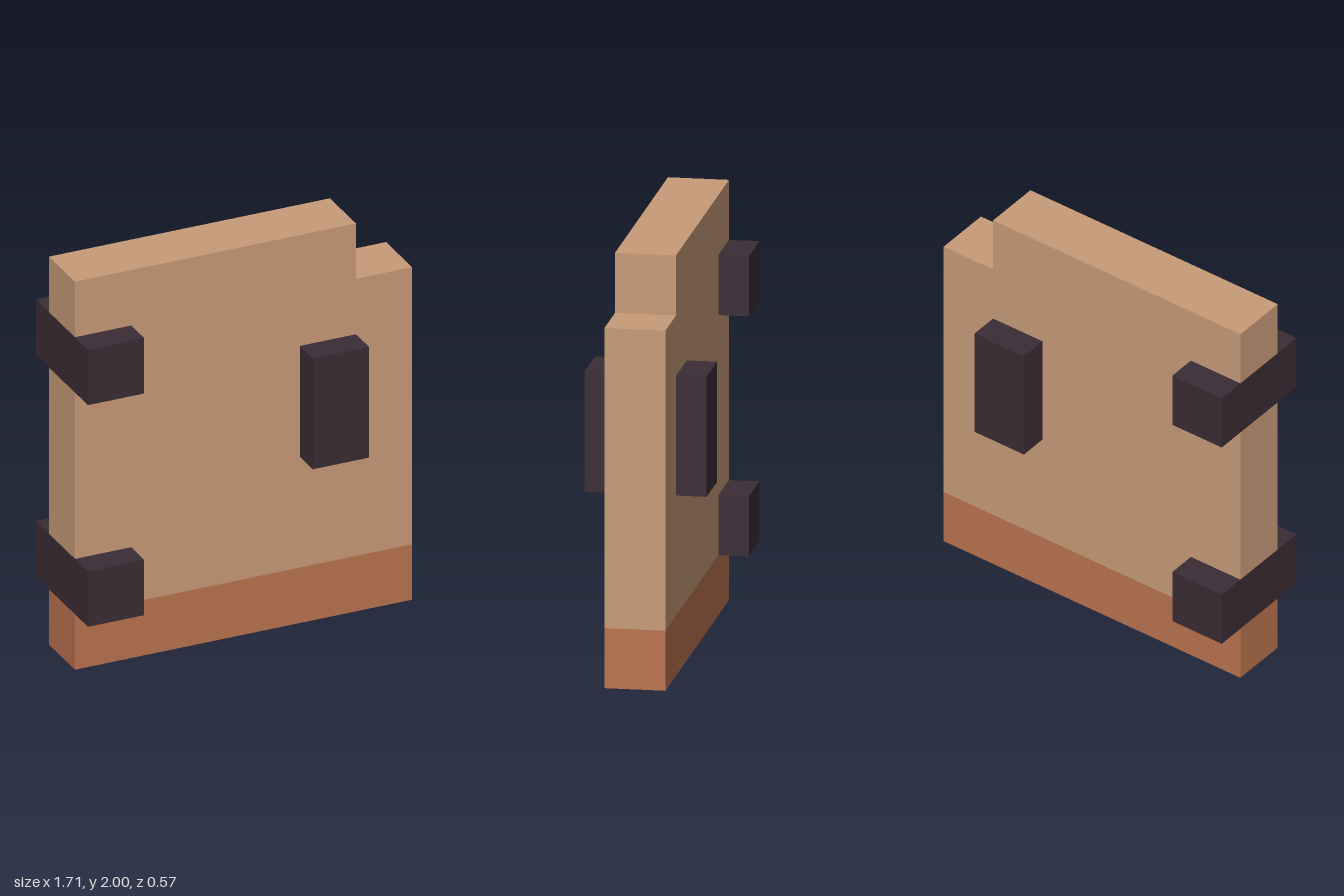
import * as THREE from 'three';

const U = 2 / 7; // block unit: the door is 6 x 7 x 1 units

const wood = new THREE.MeshStandardMaterial({ color: 0xc89b78 });
wood.name = 'light wood';
const clay = new THREE.MeshStandardMaterial({ color: 0xba7350 });
clay.name = 'terracotta';
const iron = new THREE.MeshStandardMaterial({ color: 0x3b2c35 });
iron.name = 'dark iron';

// Box spanning x0..x1 and y0..y1 in units, centred on z = 0
function block(name, material, x0, x1, y0, y1, depth) {
  const geometry = new THREE.BoxGeometry((x1 - x0) * U, (y1 - y0) * U, depth * U);
  const mesh = new THREE.Mesh(geometry, material);
  mesh.name = name;
  mesh.position.set((x0 + x1) / 2 * U, (y0 + y1) / 2 * U, 0);
  return mesh;
}

export function createModel() {
  const door = new THREE.Group();
  door.name = 'door';

  // Panel outline: stepped upper corner, with cut-outs where the hinges wrap the edge
  const outline = [
    [-2, 1], [3, 1], [3, 6], [2, 6], [2, 7], [-3, 7],
    [-3, 6], [-2, 6], [-2, 5], [-3, 5], [-3, 2], [-2, 2],
  ].map(([x, y]) => new THREE.Vector2(x * U, y * U));
  const panelGeometry = new THREE.ExtrudeGeometry(new THREE.Shape(outline), {
    depth: U, bevelEnabled: false,
  });
  panelGeometry.translate(0, 0, -U / 2);
  const panel = new THREE.Mesh(panelGeometry, wood);
  panel.name = 'panel';
  door.add(panel);

  // Coloured strip along the bottom
  door.add(block('kickPlate', clay, -3, 3, 0, 1, 1));

  // Hinges wrap around the edge and stand out on both sides
  door.add(block('lowerHinge', iron, -3, -2, 1, 2, 2));
  door.add(block('upperHinge', iron, -3, -2, 5, 6, 2));

  // Handles on the front and back faces
  for (const [name, side] of [['frontHandle', 1], ['backHandle', -1]]) {
    const handle = block(name, iron, 1, 2, 3, 5, 0.5);
    handle.position.z = side * 0.75 * U;
    door.add(handle);
  }
  return door;
}
